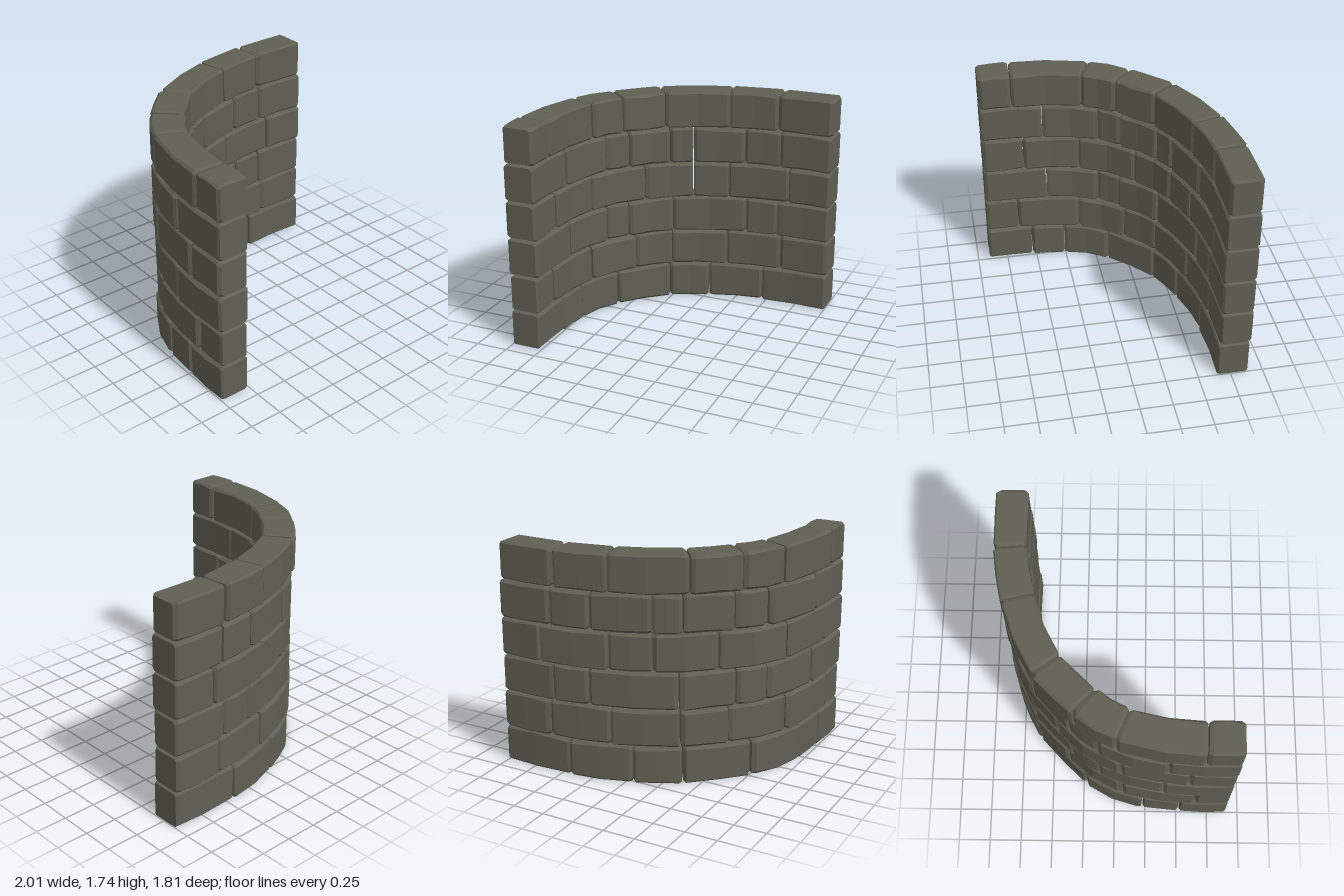
import * as THREE from 'three';

// Inner face of the wall in plan (x, 0, z)
const curve = new THREE.CatmullRomCurve3([
  [-0.75, 0.9], [-0.75, 0.6], [-0.71, 0.22], [-0.66, 0.08], [-0.58, -0.07], [-0.45, -0.21],
  [-0.27, -0.39], [0.1, -0.56], [0.55, -0.645], [1, -0.645],
].map(([x, z]) => new THREE.Vector3(x, 0, z)), false, 'centripetal');

// Block joints of each course, bottom to top, measured as x - z along the inner face
const courses = [
  [-1.28, -0.98, -0.49, 0.15, 0.57, 1.10],
  [-1.39, -0.83, -0.27, 0.17, 0.75, 1.25],
  [-1.13, -0.61, -0.35, 0.18, 0.93, 1.22],
  [-1.32, -0.82, -0.14, 0.40, 0.76, 1.31],
  [-1.15, -0.61, -0.33, 0.15, 0.40, 0.91, 1.23],
  [-1.40, -0.78, -0.40, 0.10, 0.76, 1.20],
];
const PITCH = 0.292, HEIGHT = 0.284, DEPTH = 0.25;

let seed = 7;
const rand = (a, b) => {
  seed = (seed * 16807) % 2147483647;
  return a + (b - a) * seed / 2147483647;
};

// Curve parameter at a joint value
function findT(s) {
  let lo = 0, hi = 1;
  for (let i = 0; i < 30; i++) {
    const m = (lo + hi) / 2, p = curve.getPointAt(m);
    if (p.x - p.z < s) lo = m; else hi = m;
  }
  return (lo + hi) / 2;
}

// Rough-cut stone: chamfered rectangles swept along the wall between t0 and t1
function stoneGeometry(t0, t1, y0) {
  const len = curve.getLength(), bevel = rand(0.014, 0.028) / len;
  const stations = [t0, t0 + bevel, (t0 + t1) / 2, t1 - bevel, t1];
  const push = rand(-0.006, 0.006), bulge = rand(-0.004, 0.012);
  const pos = [], idx = [];
  stations.forEach((t, j) => {
    const p = curve.getPointAt(t), tan = curve.getTangentAt(t);
    const inset = j === 0 || j === 4 ? rand(0.01, 0.02) : 0;
    const n0 = push + inset + rand(0, 0.006), n1 = DEPTH + bulge - inset - rand(0, 0.008);
    const b = y0 + inset * 0.6, h = y0 + HEIGHT - inset * 0.6;
    const c = () => rand(0.008, 0.024);
    const [c1, c2, c3, c4] = [c(), c(), c(), c()];
    const ring = [
      [n0 + c1, b], [n1 - c2, b], [n1, b + c2], [n1, h - c3],
      [n1 - c3, h], [n0 + c4, h], [n0, h - c4], [n0, b + c1],
    ];
    for (const [n, y] of ring) pos.push(p.x + tan.z * n, y, p.z - tan.x * n);
  });
  for (let j = 0; j < 4; j++) {
    for (let i = 0; i < 8; i++) {
      const a = j * 8 + i, b = j * 8 + (i + 1) % 8;
      idx.push(a, b, a + 8, b, b + 8, a + 8);
    }
  }
  for (let i = 1; i < 7; i++) idx.push(0, i + 1, i, 32, 32 + i, 33 + i);
  const g = new THREE.BufferGeometry();
  g.setAttribute('position', new THREE.Float32BufferAttribute(pos, 3));
  g.setIndex(idx);
  const flat = g.toNonIndexed();
  flat.computeVertexNormals();
  return flat;
}

export function createModel() {
  const wall = new THREE.Group();
  wall.name = 'curvedStoneWall';
  const stone = new THREE.MeshStandardMaterial({ color: 0x5f5f53 });
  stone.name = 'dark olive stone';

  courses.forEach((joints, row) => {
    const course = new THREE.Group();
    course.name = `course${row + 1}`;
    const ts = [0, ...joints.map(findT), 1];
    const gap = 0.0015;
    for (let k = 0; k < ts.length - 1; k++) {
      const a = k === 0 ? 0 : ts[k] + gap;
      const b = k === ts.length - 2 ? 1 : ts[k + 1] - gap;
      const block = new THREE.Mesh(stoneGeometry(a, b, row * PITCH), stone);
      block.name = `stoneBlock${k + 1}`;
      course.add(block);
    }
    wall.add(course);
  });
  return wall;
}
